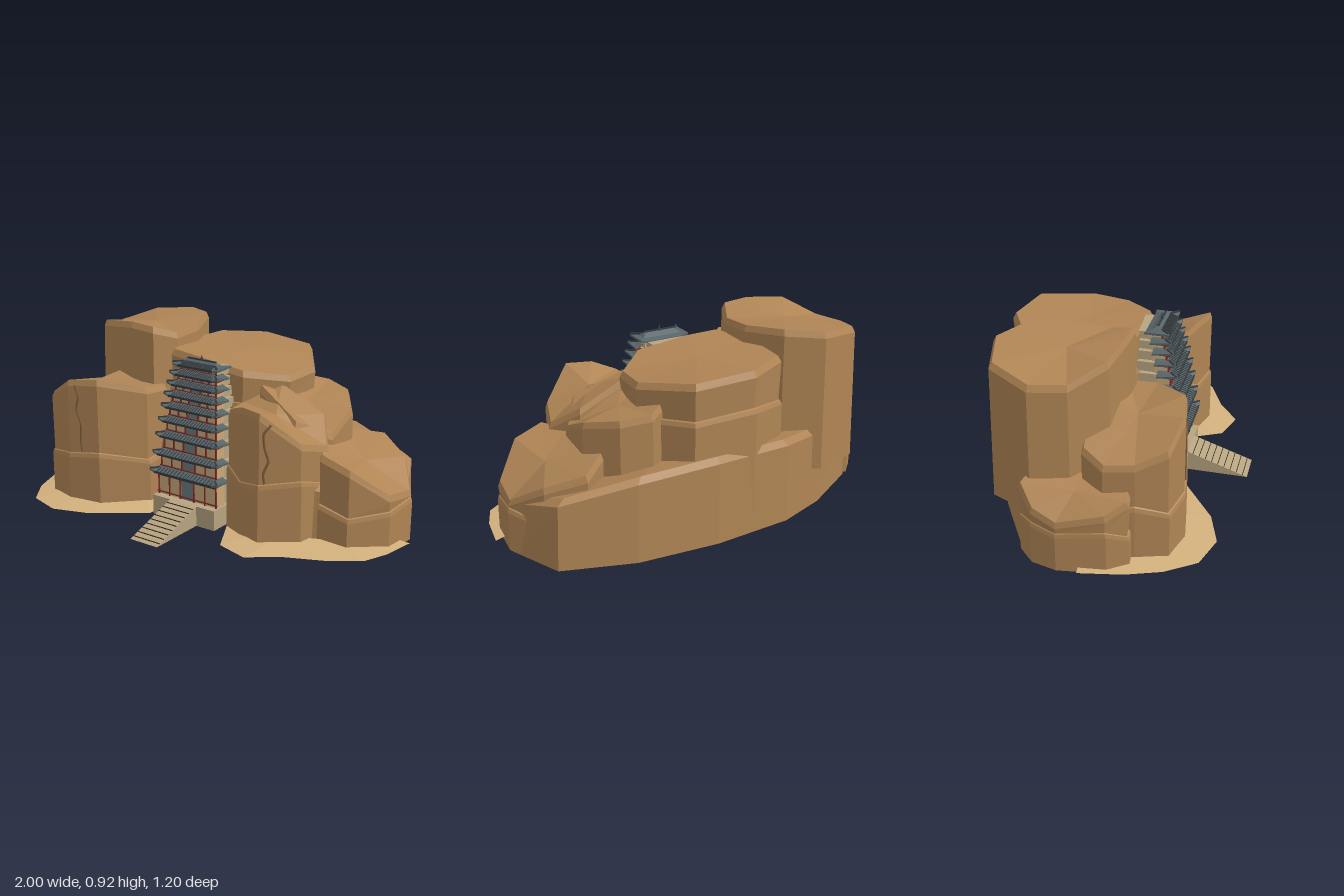
import * as THREE from 'three';

const mat = (name, color, double) => {
  const m = new THREE.MeshStandardMaterial({ color });
  m.name = name;
  if (double) m.side = THREE.DoubleSide;
  return m;
};

// Faceted skin through rings of points; rings may be closed and capped
function loft(rings, closed = true, cap = null, floor = null) {
  const pos = [], n = rings[0].length;
  const tri = (a, b, c) => pos.push(...a, ...b, ...c);
  for (let r = 0; r + 1 < rings.length; r++)
    for (let i = 0; i < (closed ? n : n - 1); i++) {
      const j = (i + 1) % n, lo = rings[r], hi = rings[r + 1];
      tri(lo[i], lo[j], hi[j]);
      tri(lo[i], hi[j], hi[i]);
    }
  for (let i = 0; i < n; i++) {
    const j = (i + 1) % n;
    if (cap) tri(rings[rings.length - 1][i], rings[rings.length - 1][j], cap);
    if (floor) tri(rings[0][j], rings[0][i], floor);
  }
  const g = new THREE.BufferGeometry();
  g.setAttribute('position', new THREE.Float32BufferAttribute(pos, 3));
  g.computeVertexNormals();
  return g;
}

// Rock from a plan of [x, z, top height], with a ledge and a chamfered rim
function rockGeometry(plan, { bottom = 0.01, ledge = 0, dip = 0, flare = 1.01 }) {
  const n = plan.length;
  const mean = k => plan.reduce((s, p) => s + p[k], 0) / n;
  const cx = mean(0), cz = mean(1), top = mean(2) - dip;
  const ring = (s, h) => plan.map((p, i) => [cx + (p[0] - cx) * s, h(p, i), cz + (p[1] - cz) * s]);
  const wave = i => 0.025 * Math.sin(i * 2.1);
  const rings = [ring(flare, () => bottom)];
  if (ledge) {
    rings.push(ring(flare, (p, i) => ledge + wave(i) - 0.02));
    rings.push(ring(flare - 0.02, (p, i) => ledge + wave(i)));
    rings.push(ring(flare - 0.045, (p, i) => ledge + wave(i) + 0.004));
  }
  rings.push(ring(0.985, p => p[2] - 0.03), ring(0.94, p => p[2]));
  return loft(rings, true, [cx, top, cz], [cx, bottom, cz]);
}

const rocks = {
  baseRock: [[[-0.95, -0.1, 0.3], [-0.88, 0.1, 0.3], [-0.6, 0.28, 0.3], [-0.3, 0.1, 0.35], [0, 0.05, 0.4],
    [0.2, 0.08, 0.4], [0.45, 0.22, 0.35], [0.7, 0.1, 0.3], [0.92, 0, 0.25], [0.95, -0.2, 0.27],
    [0.84, -0.46, 0.34], [0.5, -0.57, 0.41], [0.1, -0.6, 0.43], [-0.3, -0.57, 0.42],
    [-0.55, -0.48, 0.4], [-0.85, -0.3, 0.34]], { bottom: 0, flare: 1 }],
  tallLeftRock: [[[-0.84, -0.25, 0.83], [-0.8, -0.08, 0.83], [-0.68, 0.07, 0.9], [-0.47, 0.1, 0.92],
    [-0.33, 0.1, 0.91], [-0.27, -0.02, 0.87], [-0.27, -0.2, 0.88], [-0.36, -0.41, 0.9],
    [-0.53, -0.51, 0.89], [-0.75, -0.45, 0.87]], { bottom: 0.2, flare: 1.03, dip: 0.005 }],
  centralRock: [[[-0.35, -0.15, 0.8], [-0.27, 0.04, 0.8], [-0.1, 0.06, 0.79], [0.18, 0.06, 0.76],
    [0.35, -0.1, 0.73], [0.37, -0.3, 0.74], [0.2, -0.55, 0.78], [-0.1, -0.58, 0.8],
    [-0.32, -0.46, 0.8]], { bottom: 0.02, flare: 1.01, ledge: 0.6 }],
  leftFrontRock: [[[-0.86, 0.08, 0.5], [-0.84, 0.22, 0.51], [-0.79, 0.36, 0.57], [-0.64, 0.4, 0.66],
    [-0.47, 0.37, 0.68], [-0.29, 0.2, 0.63], [-0.28, 0.05, 0.62], [-0.5, -0.06, 0.69],
    [-0.8, -0.03, 0.54]], { ledge: 0.28, flare: 1.025, dip: -0.03 }],
  leftOuterRock: [[[-0.98, -0.1, 0.26], [-0.95, 0.12, 0.31], [-0.89, 0.21, 0.36], [-0.78, 0.2, 0.4],
    [-0.7, 0, 0.43], [-0.74, -0.25, 0.42], [-0.87, -0.3, 0.37], [-0.95, -0.22, 0.3]],
    { ledge: 0.2, flare: 1.0 }],
  rightMiddleRock: [[[0.15, -0.1, 0.7], [0.25, 0.02, 0.69], [0.5, 0.1, 0.58], [0.61, -0.06, 0.5],
    [0.61, -0.25, 0.58], [0.5, -0.41, 0.62], [0.36, -0.46, 0.64], [0.2, -0.35, 0.68]],
    { bottom: 0.1, flare: 1.01, dip: 0.02 }],
  rightFrontRock: [[[0.17, 0.05, 0.61], [0.2, 0.21, 0.62], [0.31, 0.27, 0.66], [0.44, 0.31, 0.66],
    [0.6, 0.2, 0.52], [0.65, 0.04, 0.48], [0.55, -0.1, 0.58], [0.3, -0.1, 0.69]],
    { ledge: 0.32, flare: 1.02 }],
  rightOuterRock: [[[0.58, 0, 0.46], [0.65, 0.13, 0.46], [0.8, 0.12, 0.41], [0.94, -0.02, 0.28],
    [0.96, -0.2, 0.26], [0.85, -0.36, 0.36], [0.68, -0.46, 0.42], [0.5, -0.3, 0.46]],
    { ledge: 0.2, flare: 1.01, dip: 0.01 }],
};

// Cracks as [x, y] paths laid onto a rock face
const cracks = {
  leftFrontRock: [[-0.6, 0.64], [-0.58, 0.58], [-0.595, 0.52], [-0.57, 0.44], [-0.575, 0.36], [-0.57, 0.3]],
  rightFrontRock: [[0.48, 0.61], [0.455, 0.57], [0.46, 0.5], [0.475, 0.44], [0.455, 0.38], [0.46, 0.33]],
};

// Sand outlines as [x, z]
const sands = {
  leftSand: [[-1, 0], [-0.96, 0.2], [-0.9, 0.36], [-0.8, 0.5], [-0.63, 0.55], [-0.45, 0.49], [-0.2, 0.31], [-0.2, 0.15]],
  rightSand: [[0.18, 0.18], [0.3, 0.41], [0.46, 0.455], [0.6, 0.35], [0.78, 0.27], [0.92, 0.17], [0.97, 0.05], [1, -0.12]],
};

export function createModel() {
  const M = {
    rock: mat('sandstone', 0xb08555), crack: mat('crack brown', 0x80603c),
    sand: mat('sand', 0xd2b07c, true), stone: mat('pale stone', 0xb7a480),
    wall: mat('plaster', 0xc8a878), tile: mat('roof tile', 0x566468, true),
    rib: mat('dark tile', 0x353c3f), red: mat('red timber', 0x7c2a24),
    dark: mat('shadowed opening', 0x3a2f2a), panel: mat('door grey', 0x6d7a80),
  };
  const model = new THREE.Group();
  model.name = 'cliffPagoda';
  const add = (parent, name, geometry, material) => {
    const m = new THREE.Mesh(geometry, material);
    m.name = name;
    parent.add(m);
    return m;
  };
  const box = (parent, name, material, x0, x1, y0, y1, z0, z1) => {
    const m = add(parent, name, new THREE.BoxGeometry(x1 - x0, y1 - y0, z1 - z0), material);
    m.position.set((x0 + x1) / 2, (y0 + y1) / 2, (z0 + z1) / 2);
    return m;
  };

  // Cliff and its cracks
  const cliff = new THREE.Group();
  cliff.name = 'cliff';
  model.add(cliff);
  for (const [name, [plan, options]] of Object.entries(rocks)) {
    const rock = add(cliff, name, rockGeometry(plan, options), M.rock);
    if (!cracks[name]) continue;
    const ray = new THREE.Raycaster(), path = [];
    for (const [x, y] of cracks[name]) {
      ray.set(new THREE.Vector3(x, y, 2), new THREE.Vector3(0, 0, -1));
      const hit = ray.intersectObject(rock)[0];
      if (hit) path.push(hit.point);
    }
    const curve = new THREE.CatmullRomCurve3(path, false, 'catmullrom', 0.1);
    add(cliff, name + 'Crack', new THREE.TubeGeometry(curve, 24, 0.007, 4), M.crack);
  }

  // Sand drifts at the foot
  for (const [name, line] of Object.entries(sands)) {
    const cx = Math.sign(line[3][0]) * 0.55;
    const outer = line.map(([x, z]) => [x, 0.03, z]);
    const inner = line.map(([x, z]) => [x + (cx - x) * 0.45, 0.055, z + (-0.05 - z) * 0.45]);
    add(model, name, loft([outer, inner], false), M.sand);
  }

  // Platform and stair ramp
  box(model, 'platform', M.stone, -0.185, 0.185, 0.03, 0.13, 0.03, 0.3);
  const side = new THREE.Shape([[0.3, 0.03], [0.6, 0.03], [0.3, 0.13]].map(p => new THREE.Vector2(...p)));
  const ramp = add(model, 'stairRamp', new THREE.ExtrudeGeometry(side, { depth: 0.16, bevelEnabled: false }), M.stone);
  ramp.rotation.y = -Math.PI / 2;
  ramp.position.x = 0.08;
  for (let i = 0; i < 9; i++) {
    const y = 0.037 + i * 0.0105, z = 0.6 - (y - 0.03) * 3;
    box(model, 'stairRiser', M.dark, -0.078, 0.078, y - 0.002, y + 0.004, z - 0.003, z);
  }

  // Pagoda, storey by storey, each set back from the one below
  const pagoda = new THREE.Group();
  pagoda.name = 'pagoda';
  model.add(pagoda);
  const eaves = [0.255, 0.345, 0.435, 0.51, 0.578, 0.635, 0.688, 0.737, 0.782];
  const half = i => 0.202 - i * 0.0088, front = i => 0.302 - i * 0.0125;
  eaves.forEach((y, i) => {
    const s = new THREE.Group();
    s.name = 'storey' + (i + 1);
    pagoda.add(s);
    const w = half(i) - 0.03, z = front(i) - 0.042;
    const y0 = i ? eaves[i - 1] + 0.012 : 0.13, h = y - y0;
    box(s, 'wall', M.wall, -w, w, y0 - 0.012, y, z - 0.06, z);
    box(s, 'backWall', M.stone, -w + 0.008, w - 0.008, y0 - 0.012, y - 0.008, 0.04, z - 0.06);
    box(s, 'lintel', M.dark, -w, w, y - h * 0.24, y, z, z + 0.004);
    box(s, 'door', M.panel, -0.038, 0.038, y0, y - h * 0.24, z, z + 0.003);
    box(s, 'railing', M.red, -w - 0.008, w + 0.008, y0 + h * 0.1, y0 + h * 0.1 + 0.005, z + 0.006, z + 0.012);
    for (const k of [-1, -0.62, -0.24, 0.24, 0.62, 1]) {
      const c = add(s, 'column', new THREE.CylinderGeometry(0.0045, 0.0045, h, 6), M.red);
      c.position.set(k * w, y0 + h / 2, z + 0.007);
    }
    box(s, 'eaveBeam', M.red, -w - 0.02, w + 0.02, y - 0.01, y - 0.003, z - 0.045, z + 0.03);

    // Tiled roof with lifted corners
    const W = half(i), Z = front(i), last = i === 8;
    if (!last) {
      const edge = (d, yy, lift) => [[W - d, yy, Z - 0.1], [W - d, yy + lift, Z - d], [W - d - 0.03, yy, Z - d],
        [-W + d + 0.03, yy, Z - d], [-W + d, yy + lift, Z - d], [-W + d, yy, Z - 0.1]];
      add(s, 'roof', loft([edge(0, y - 0.008, 0.01), edge(0, y, 0.012), edge(0.024, y + 0.008, 0.003),
        edge(0.055, y + 0.024, 0)], false), M.tile);
    } else {
      const ring = (a, b, yy, lift) => [[-a, yy + lift, 0.142 + b], [-a * 0.75, yy, 0.142 + b], [a * 0.75, yy, 0.142 + b],
        [a, yy + lift, 0.142 + b], [a, yy + lift, 0.142 - b], [a * 0.75, yy, 0.142 - b],
        [-a * 0.75, yy, 0.142 - b], [-a, yy + lift, 0.142 - b]];
      add(s, 'topRoof', loft([ring(W, 0.058, y - 0.012, 0.008), ring(W, 0.058, y - 0.005, 0.01),
        ring(W - 0.03, 0.03, y + 0.004, 0.002), ring(0.08, 0.002, y + 0.024, 0)]), M.tile);
      box(s, 'ridge', M.rib, -0.083, 0.083, y + 0.02, y + 0.029, 0.138, 0.146);
      const f = add(s, 'finial', new THREE.ConeGeometry(0.008, 0.03, 8), M.rib);
      f.position.set(0, y + 0.038, 0.142);
    }
    box(s, 'eaveEdge', M.rib, -W + 0.03, W - 0.03, y - 0.008, y + 0.002, Z - 0.004, Z + 0.002);
    for (let k = 0; k <= 16; k++) {
      const x = (k / 8 - 1) * (W - 0.045);
      const r = box(s, 'roofRib', M.rib, x - 0.0025, x + 0.0025, y + 0.004, y + 0.009, Z - 0.042, Z + 0.002);
      r.rotation.x = 0.36;
    }
    for (const k of [-1, 1]) {
      const r = box(s, 'hipRidge', M.rib, k * (W - 0.02) - 0.004, k * (W - 0.02) + 0.004, y + 0.009, y + 0.016, Z - 0.046, Z + 0.006);
      r.rotation.y = k * Math.PI / 4;
    }
  });
  return model;
}
